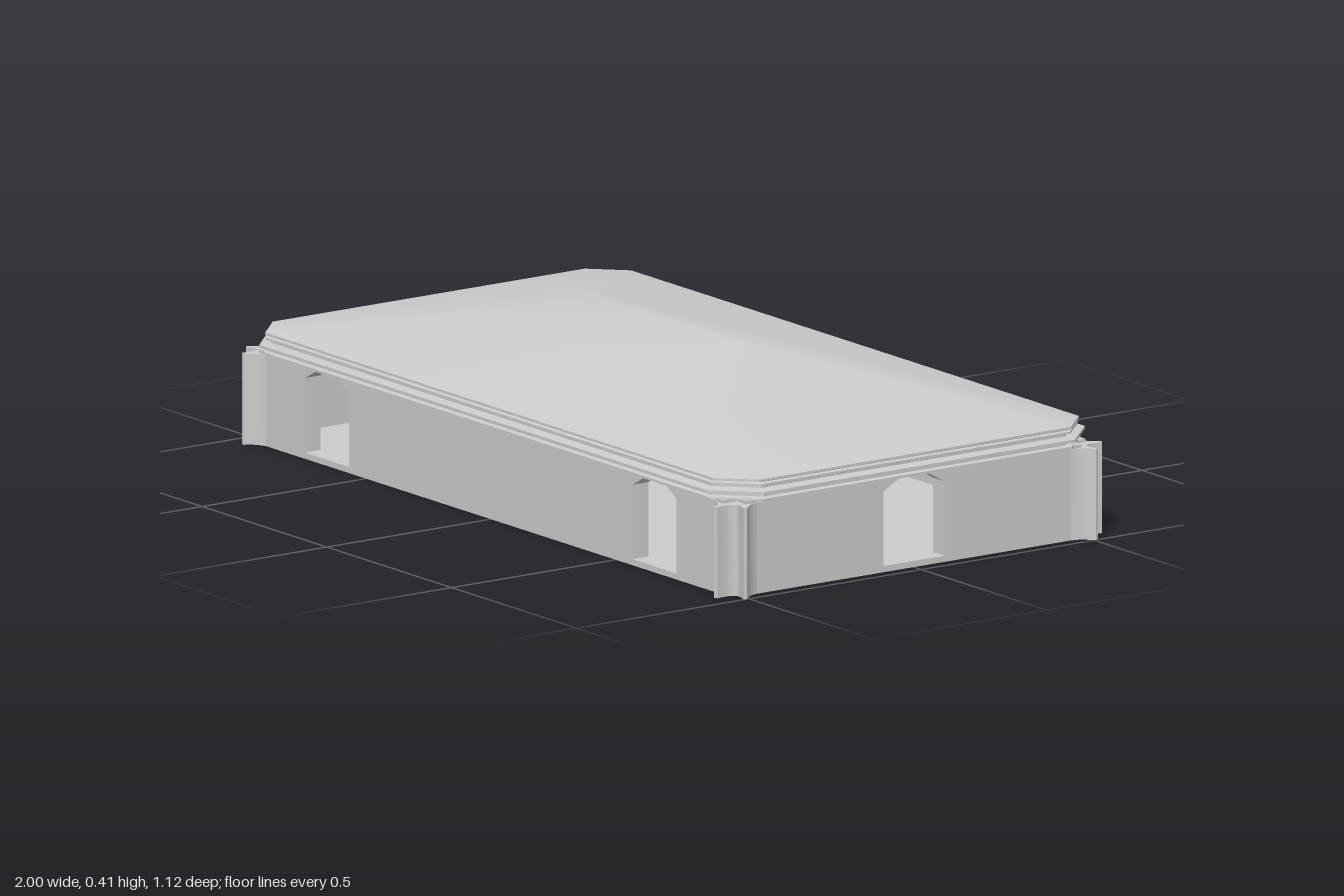
import * as THREE from 'three';
import { toCreasedNormals } from 'three/addons/utils/BufferGeometryUtils.js';

const HX = 0.97, HZ = 0.525, WALL_TOP = 0.228, FLOOR = 0.015, THICK = 0.045;
const mat = new THREE.MeshStandardMaterial({ color: 0xcccccc, side: THREE.DoubleSide });

function add(parent, name, geometry) {
  const mesh = new THREE.Mesh(geometry, mat);
  mesh.name = name;
  parent.add(mesh);
  return mesh;
}

// Rectangle in plan with its four corners cut off
function octagon(hx, hz, c) {
  const x = hx - c, z = hz - c;
  return [[hx, z], [hx, -z], [x, -hz], [-x, -hz], [-hx, -z], [-hx, z], [-x, hz], [x, hz]];
}

// Skin a stack of cut-corner rings, each [hx, hz, cut, y]
function loft(rings, crease) {
  const pos = [];
  const tri = (a, b, c) => {
    const area = new THREE.Triangle(a, b, c).getArea();
    if (area > 1e-9) for (const p of [a, b, c]) pos.push(p.x, p.y, p.z);
  };
  const loops = rings.map(([hx, hz, c, y]) =>
    octagon(hx, hz, c).map(([x, z]) => new THREE.Vector3(x, y, z)));
  for (let r = 0; r + 1 < loops.length; r++) {
    for (let i = 0; i < 8; i++) {
      const j = (i + 1) % 8, a = loops[r], b = loops[r + 1];
      tri(a[i], a[j], b[j]);
      tri(a[i], b[j], b[i]);
    }
  }
  const g = new THREE.BufferGeometry();
  g.setAttribute('position', new THREE.Float32BufferAttribute(pos, 3));
  return toCreasedNormals(g, crease);
}

// Extrude a plan outline of [x, z] points upward from y0 to y1
function prism(points, y0, y1) {
  const shape = new THREE.Shape(points.map(([x, z]) => new THREE.Vector2(x, -z)));
  const g = new THREE.ExtrudeGeometry(shape, { depth: y1 - y0, bevelEnabled: false });
  return g.rotateX(-Math.PI / 2).translate(0, y0, 0);
}

// Wall panel with clipped-arch door openings, outer face at z = 0
function wallGeometry(half, doors) {
  const shape = new THREE.Shape([[-half, 0], [half, 0], [half, WALL_TOP], [-half, WALL_TOP]]
    .map(p => new THREE.Vector2(...p)));
  for (const d of doors) {
    shape.holes.push(new THREE.Path([[-0.088, FLOOR], [-0.088, 0.195], [-0.04, 0.222],
      [0.04, 0.222], [0.088, 0.195], [0.088, FLOOR]]
      .map(([x, y]) => new THREE.Vector2(d + x, y))));
  }
  return new THREE.ExtrudeGeometry(shape, { depth: THICK, bevelEnabled: false })
    .translate(0, 0, -THICK);
}

export function createModel() {
  const group = new THREE.Group();
  group.name = 'pavilion';

  add(group, 'floor', prism(octagon(HX, HZ, 0.05), 0, FLOOR));

  // Long walls have two doors, end walls have one
  const longWall = wallGeometry(0.93, [-0.657, 0.657]);
  const endWall = wallGeometry(0.485, [0]);
  for (const s of [1, -1]) {
    const long = add(group, s > 0 ? 'frontWall' : 'backWall', longWall);
    long.position.z = s * HZ;
    long.rotation.y = s > 0 ? 0 : Math.PI;
    const end = add(group, s > 0 ? 'leftWall' : 'rightWall', endWall);
    end.position.x = s * HX;
    end.rotation.y = s * Math.PI / 2;
  }

  // Corner piers: walls flare into two fins with a hollow between them
  const plan = [[0.9, 0.525], [0.915, 0.53], [0.932, 0.542], [0.943, 0.56], [0.953, 0.557],
    [0.95, 0.535], [0.952, 0.515], [0.962, 0.505], [0.98, 0.507], [0.997, 0.514], [1.0, 0.505],
    [0.987, 0.49], [0.975, 0.475], [0.97, 0.455], [0.925, 0.455], [0.9, 0.48]];
  for (const sx of [1, -1]) {
    for (const sz of [1, -1]) {
      const pts = plan.map(([x, z]) => [x * sx, z * sz]);
      add(group, 'cornerPier', toCreasedNormals(prism(pts, 0, 0.22), 0.7));
    }
  }

  // Stepped cornice: [half depth, cut, height]
  const cornice = [[0.48, 0.06, 0.224], [0.538, 0.09, 0.224], [0.538, 0.09, 0.23],
    [0.525, 0.09, 0.232], [0.525, 0.09, 0.239], [0.548, 0.097, 0.242], [0.548, 0.097, 0.249],
    [0.523, 0.085, 0.253], [0.523, 0.085, 0.257], [0.532, 0.085, 0.26], [0.532, 0.085, 0.265],
    [0.522, 0.08, 0.267], [0.53, 0.078, 0.27], [0.53, 0.078, 0.276]]
    .map(([hz, c, y]) => [hz + 0.445, hz, c, y]);
  add(group, 'cornice', loft(cornice, 0.3));

  // Hipped roof rising to a short ridge
  add(group, 'roof', loft([[0.975, 0.53, 0.078, 0.276], [0.3, 0, 0, 0.41]], 0.4));
  return group;
}
